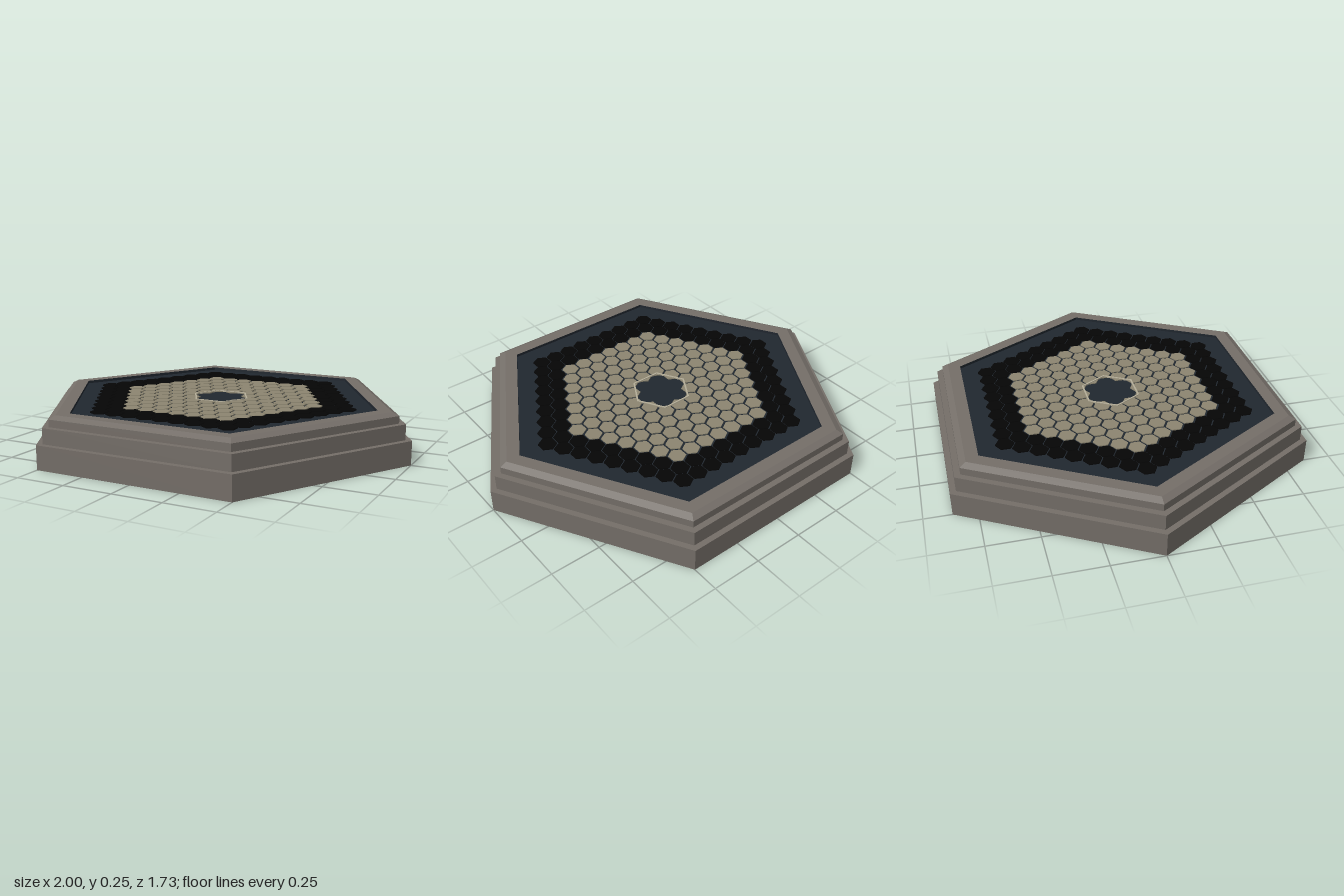
import * as THREE from 'three';
import { mergeGeometries } from 'three/addons/utils/BufferGeometryUtils.js';

const PITCH = 0.085; // distance between neighbouring cells

function material(color, side = THREE.FrontSide) {
  return new THREE.MeshStandardMaterial({ color, side, flatShading: true });
}

// Six-sided lathe with corners on the x axis; profile runs from bottom to top.
function hexLathe(name, profile, mat) {
  const points = profile.map(([r, y]) => new THREE.Vector2(r, y));
  const mesh = new THREE.Mesh(new THREE.LatheGeometry(points, 6, Math.PI / 6), mat);
  mesh.name = name;
  return mesh;
}

// Honeycomb of small prisms filling the rings from..to around the centre.
function honeycomb(name, from, to, radius, bottom, top, mat) {
  const cells = [];
  for (let q = -to; q <= to; q++) {
    for (let r = -to; r <= to; r++) {
      const ring = Math.max(Math.abs(q), Math.abs(r), Math.abs(q + r));
      if (ring < from || ring > to) continue;
      const cell = new THREE.CylinderGeometry(radius, radius, top - bottom, 6);
      cell.translate(PITCH * (q + r / 2), (top + bottom) / 2, PITCH * r * Math.sqrt(3) / 2);
      cells.push(cell);
    }
  }
  const mesh = new THREE.Mesh(mergeGeometries(cells), mat);
  mesh.name = name;
  return mesh;
}

export function createModel() {
  const group = new THREE.Group();
  group.name = 'hexagonalPlatform';
  const casing = material(0x746e68, THREE.DoubleSide);
  const deck = material(0x20272f);
  const black = material(0x050505);
  const tan = material(0x8c8570);
  const trim = material(0xb4ad98);

  // Stepped casing; the lowest tier is a shell, open underneath
  group.add(
    hexLathe('lowerTier', [[1, 0], [1, 0.118], [0, 0.118]], casing),
    hexLathe('middleTier', [[0.968, 0.118], [0.968, 0.194], [0.88, 0.194]], casing),
    hexLathe('bevelledRim', [[0.935, 0.194], [0.935, 0.23], [0.9, 0.246], [0.83, 0.246]], casing),
  );

  // Dark panel sunk slightly inside the rim
  group.add(hexLathe('deckPanel', [[0.83, 0.246], [0.83, 0.232], [0, 0.232]], deck));

  // Cells: pale field with the middle seven left out, then two black rings
  group.add(
    honeycomb('paleCells', 2, 6, 0.0425, 0.228, 0.237, tan),
    honeycomb('blackCells', 7, 8, 0.045, 0.228, 0.238, black),
  );

  // Thin trim around the central opening
  group.add(hexLathe('centreTrim', [[0.152, 0.23], [0.152, 0.24], [0.143, 0.24], [0.143, 0.23]], trim));

  return group;
}
